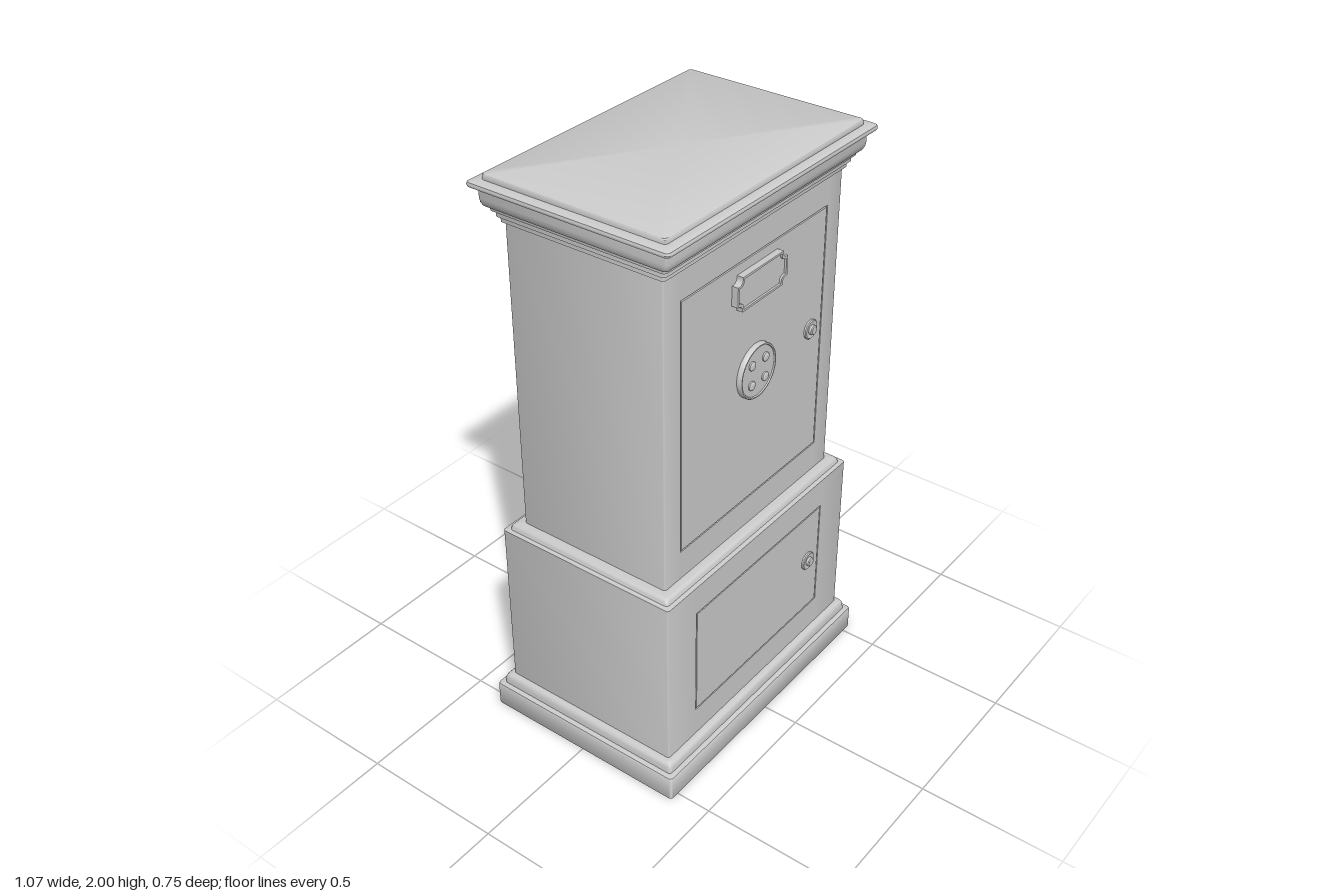
import * as THREE from 'three';
import { toCreasedNormals } from 'three/addons/utils/BufferGeometryUtils.js';

const material = new THREE.MeshStandardMaterial({ color: 0xcccccc });
const INSET = 0.16; // half depth = half width - INSET

function add(parent, name, geometry, x = 0, y = 0, z = 0) {
  const mesh = new THREE.Mesh(geometry, material);
  mesh.name = name;
  mesh.position.set(x, y, z);
  parent.add(mesh);
  return mesh;
}

// Rounded rectangle outline in plan, counter-clockwise seen from below
function planRing(w, radius = 0.012, steps = 4) {
  const d = w - INSET, points = [];
  [[1, 1], [-1, 1], [-1, -1], [1, -1]].forEach(([sx, sz], i) => {
    for (let k = 0; k <= steps; k++) {
      const a = (i + k / steps) * Math.PI / 2;
      points.push([sx * (w - radius) + radius * Math.cos(a), sz * (d - radius) + radius * Math.sin(a)]);
    }
  });
  return points;
}

// Runs a [halfWidth, y] profile around the rectangular plan and caps both ends
function moulding(profile) {
  const positions = [], index = [];
  const n = planRing(1).length;
  for (const [w, y] of profile) for (const [x, z] of planRing(w)) positions.push(x, y, z);
  for (let r = 0; r < profile.length - 1; r++) {
    for (let i = 0; i < n; i++) {
      const a = r * n + i, b = r * n + (i + 1) % n;
      index.push(a, a + n, b, b, a + n, b + n);
    }
  }
  const last = profile.length - 1;
  positions.push(0, profile[0][1], 0, 0, profile[last][1], 0);
  const bottom = n * (last + 1), top = bottom + 1;
  for (let i = 0; i < n; i++) {
    const j = (i + 1) % n;
    index.push(bottom, i, j, top, last * n + j, last * n + i);
  }
  const geometry = new THREE.BufferGeometry();
  geometry.setAttribute('position', new THREE.Float32BufferAttribute(positions, 3));
  geometry.setIndex(index);
  return toCreasedNormals(geometry, 0.6);
}

// Rounded cabinet with a door set flush in its front, surrounded by a thin groove
function cabinet(name, w, y0, y1, door) {
  const group = new THREE.Group();
  group.name = name;
  const d = w - INSET, r = 0.01, depth = 0.012, gap = 0.005;
  const hw = door.w + gap / 2;
  const shape = new THREE.Shape();
  shape.moveTo(-w + r, -d);
  shape.lineTo(-hw, -d);
  shape.lineTo(-hw, -d + depth);
  shape.lineTo(hw, -d + depth);
  shape.lineTo(hw, -d);
  shape.lineTo(w - r, -d);
  shape.absarc(w - r, -d + r, r, -Math.PI / 2, 0);
  shape.absarc(w - r, d - r, r, 0, Math.PI / 2);
  shape.absarc(-w + r, d - r, r, Math.PI / 2, Math.PI);
  shape.absarc(-w + r, -d + r, r, Math.PI, Math.PI * 1.5);
  const body = new THREE.ExtrudeGeometry(shape, { depth: y1 - y0, bevelEnabled: false, curveSegments: 5 });
  body.rotateX(-Math.PI / 2);
  add(group, name + 'Body', toCreasedNormals(body, 0.6), 0, y0, 0);

  const slab = (part, halfWidth, low, high) =>
    add(group, part, new THREE.BoxGeometry(halfWidth * 2, high - low, depth), 0, (low + high) / 2, d - depth / 2);
  slab(name + 'BottomRail', hw, y0, door.y0 - gap / 2);
  slab(name + 'TopRail', hw, door.y1 + gap / 2, y1);
  slab(name + 'Door', door.w - gap / 2, door.y0 + gap / 2, door.y1 - gap / 2);
  return group;
}

// Turned fitting whose axis points to the front
function turned(profile, segments = 40) {
  const geometry = new THREE.LatheGeometry(profile.map(([r, h]) => new THREE.Vector2(r, h)), segments);
  geometry.rotateX(Math.PI / 2);
  return toCreasedNormals(geometry, 0.6);
}

// Plaque outline with concave scooped corners
function plaqueOutline(w, h, r, step) {
  const s = new THREE.Shape();
  const cx = w - step, cy = h - step;
  s.moveTo(-cx + r, -h);
  s.lineTo(cx - r, -h);
  s.lineTo(cx - r, -cy);
  s.absarc(cx, -cy, r, Math.PI, Math.PI / 2, true);
  s.lineTo(w, -cy + r);
  s.lineTo(w, cy - r);
  s.lineTo(cx, cy - r);
  s.absarc(cx, cy, r, -Math.PI / 2, -Math.PI, true);
  s.lineTo(cx - r, h);
  s.lineTo(-cx + r, h);
  s.lineTo(-cx + r, cy);
  s.absarc(-cx, cy, r, 0, -Math.PI / 2, true);
  s.lineTo(-w, cy - r);
  s.lineTo(-w, -cy + r);
  s.lineTo(-cx, -cy + r);
  s.absarc(-cx, -cy, r, Math.PI / 2, 0, true);
  return s;
}

export function createModel() {
  const model = new THREE.Group();
  model.name = 'pedestalCabinet';

  // Plinth, waist ledge and cornice
  add(model, 'plinth', moulding([
    [0.535, 0], [0.537, 0.004], [0.537, 0.084], [0.535, 0.089], [0.53, 0.091], [0.519, 0.092],
    [0.518, 0.112], [0.515, 0.121], [0.509, 0.128], [0.5, 0.131], [0.49, 0.131],
  ]));
  add(model, 'waistLedge', moulding([
    [0.494, 0.745], [0.494, 0.748], [0.48, 0.75], [0.478, 0.76], [0.473, 0.767], [0.464, 0.771], [0.44, 0.772],
  ]));
  add(model, 'cornice', moulding([
    [0.44, 1.848], [0.455, 1.848], [0.455, 1.864], [0.464, 1.866], [0.464, 1.883], [0.474, 1.885],
    [0.476, 1.9], [0.488, 1.902], [0.493, 1.912], [0.495, 1.925], [0.495, 1.957], [0.51, 1.959],
    [0.516, 1.963], [0.518, 1.97], [0.516, 1.977], [0.51, 1.981], [0.486, 1.982],
    [0.486, 1.994], [0.484, 1.998], [0.48, 2],
  ]));

  // Two storeys with their doors
  model.add(cabinet('lowerCabinet', 0.495, 0.125, 0.748, { w: 0.349, y0: 0.238, y1: 0.642 }));
  model.add(cabinet('upperCabinet', 0.445, 0.765, 1.852, { w: 0.366, y0: 0.876, y1: 1.746 }));

  // Name plaque with raised rim
  const plaque = new THREE.Group();
  plaque.name = 'plaque';
  plaque.position.set(0, 1.655, 0.284);
  const rim = plaqueOutline(0.126, 0.057, 0.018, 0.006);
  rim.holes.push(plaqueOutline(0.119, 0.05, 0.018, 0.006));
  add(plaque, 'plaqueRim', new THREE.ExtrudeGeometry(rim, { depth: 0.023, bevelEnabled: false, curveSegments: 6 }));
  add(plaque, 'plaqueFace', new THREE.ExtrudeGeometry(plaqueOutline(0.121, 0.052, 0.018, 0.006),
    { depth: 0.016, bevelEnabled: false, curveSegments: 6 }));
  model.add(plaque);

  // Round plate with four studs
  const plate = new THREE.Group();
  plate.name = 'roundPlate';
  plate.position.set(0, 1.345, 0.284);
  add(plate, 'plateDisc', turned([
    [0.092, 0], [0.092, 0.016], [0.09, 0.019], [0.086, 0.019], [0.084, 0.015], [0, 0.015],
  ], 56));
  for (const sx of [-1, 1]) for (const sy of [-1, 1]) {
    add(plate, 'stud', turned([
      [0.015, 0], [0.015, 0.006], [0.012, 0.009], [0.007, 0.011], [0, 0.012],
    ], 20), sx * 0.035, sy * 0.035, 0.014);
  }
  model.add(plate);

  // Door locks: rosette with a small knob
  const lock = turned([
    [0.033, 0], [0.033, 0.007], [0.03, 0.01], [0.021, 0.01], [0.018, 0.008], [0.016, 0.008],
    [0.016, 0.017], [0.013, 0.02], [0.007, 0.021], [0, 0.021],
  ]);
  add(model, 'upperDoorLock', lock, 0.302, 1.345, 0.284);
  add(model, 'lowerDoorLock', lock, 0.283, 0.45, 0.334);

  return model;
}
